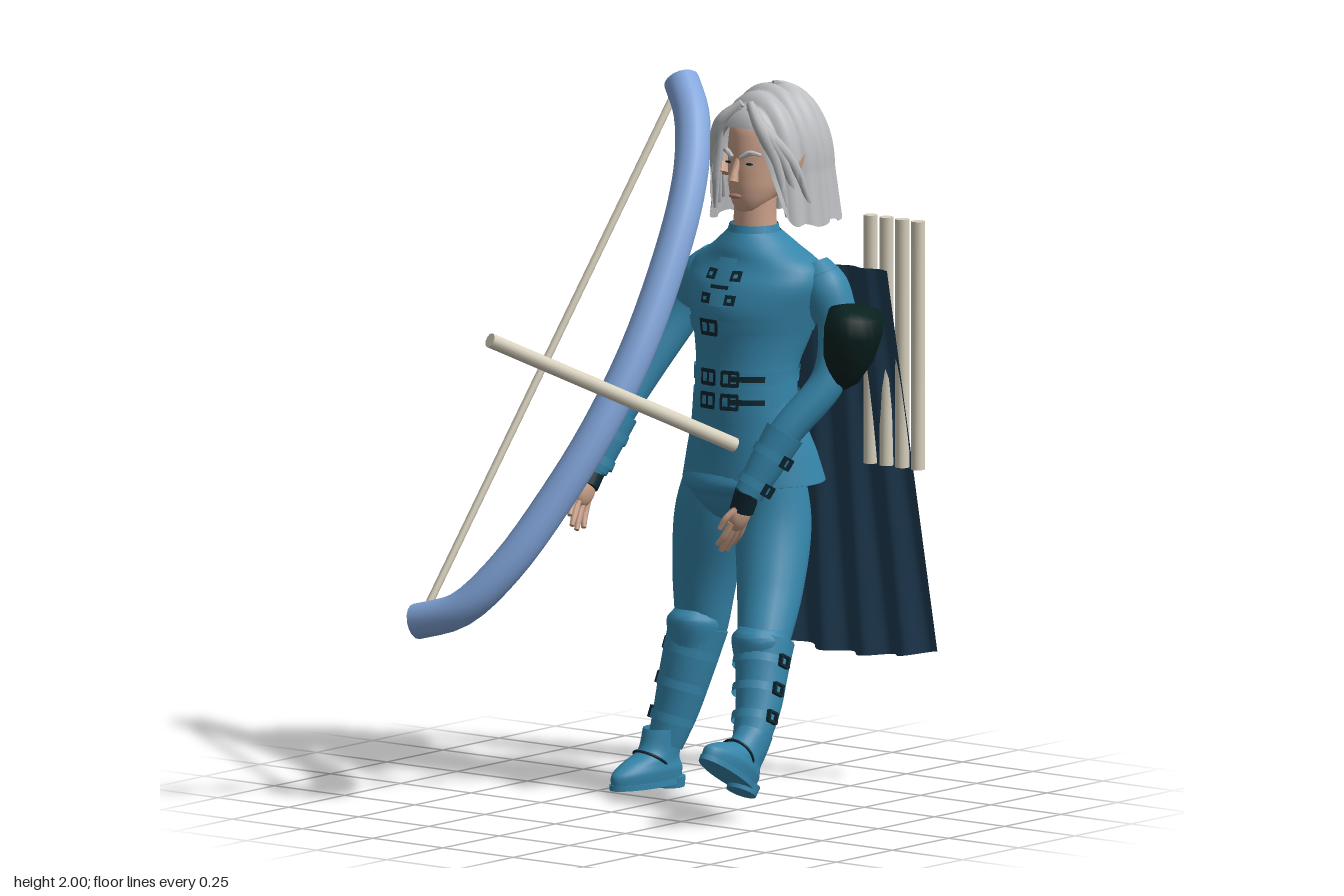
import * as THREE from 'three';
import { toCreasedNormals } from 'three/addons/utils/BufferGeometryUtils.js';

const V = (x, y, z) => new THREE.Vector3(x, y, z);
const mat = (name, color, side = THREE.FrontSide) => {
  const m = new THREE.MeshStandardMaterial({ color, side });
  m.name = name;
  return m;
};

export function createModel() {
  const root = new THREE.Group();
  root.name = 'archer';
  const teal = mat('teal leather', 0x3585aa, THREE.DoubleSide);
  const trim = mat('dark buckle', 0x0d2630, THREE.DoubleSide);
  const hairM = mat('silver hair', 0xbbbdc0, THREE.DoubleSide);
  const skin = mat('skin', 0xcaa089);
  const bowM = mat('blue bow', 0x82a6dc);
  const cream = mat('cream shaft', 0xd8d1be);
  const capeM = mat('navy cape', 0x1f3d55, THREE.DoubleSide);
  const guardM = mat('black green guard', 0x08211f, THREE.DoubleSide);
  const lipM = mat('lips', 0xa8766a);

  const add = (name, geo, m, p, parent = root) => {
    const mesh = new THREE.Mesh(geo, m);
    mesh.name = name;
    if (p) mesh.position.set(...p);
    parent.add(mesh);
    return mesh;
  };

  // Grid surface from fn(u, v); u runs round or across, v runs upward
  const grid = (nu, nv, fn, closed) => {
    const pos = [], idx = [], w = closed ? nu : nu + 1;
    for (let j = 0; j <= nv; j++) for (let i = 0; i < w; i++) pos.push(...fn(i / nu, j / nv));
    for (let j = 0; j < nv; j++) for (let i = 0; i < nu; i++) {
      const a = j * w + i, b = j * w + (i + 1) % w;
      idx.push(a, b, a + w, b, b + w, a + w);
    }
    const g = new THREE.BufferGeometry();
    g.setAttribute('position', new THREE.Float32BufferAttribute(pos, 3));
    g.setIndex(idx);
    g.computeVertexNormals();
    return g;
  };

  // Smooth stack of elliptical rings [y, cx, cz, rx, rz], listed from the bottom up
  const loft = (rings, nv = 30, nu = 36) => {
    const c = new THREE.CatmullRomCurve3(rings.map(r => V(r[1], r[0], r[2])));
    const s = new THREE.CatmullRomCurve3(rings.map(r => V(r[3], r[4], 0)));
    return grid(nu, nv, (u, v) => {
      const p = c.getPoint(v), r = s.getPoint(v), a = u * Math.PI * 2;
      return [p.x + r.x * Math.sin(a), p.y, p.z + r.y * Math.cos(a)];
    }, true);
  };

  // Capped tube through [x, y, z, radius]
  const limb = (pts, segs = 24, sides = 16) => {
    const c = new THREE.CatmullRomCurve3(pts.map(p => V(p[0], p[1], p[2])));
    const rc = new THREE.CatmullRomCurve3(pts.map((p, i) => V(p[3], i, 0)));
    c.getPointAt = t => c.getPoint(t);
    c.getTangentAt = t => c.getTangent(t);
    const g = new THREE.TubeGeometry(c, segs, 1, sides);
    const P = g.attributes.position, N = g.attributes.normal;
    for (let k = 0; k < P.count; k++) {
      const i = Math.floor(k / (sides + 1));
      const t = i <= 1 ? 0 : i >= segs - 1 ? 1 : i / segs;
      const r = i === 0 || i === segs ? 0 : rc.getPoint(t).x, p = c.getPoint(t);
      P.setXYZ(k, p.x + N.getX(k) * r, p.y + N.getY(k) * r, p.z + N.getZ(k) * r);
    }
    return toCreasedNormals(g, 0.9);
  };

  // Strap round a limb at point a, facing direction d, with a buckle on one side
  const strap = (name, a, d, r, side) => {
    const g = new THREE.Group();
    g.name = name;
    g.position.set(...a);
    g.quaternion.setFromUnitVectors(V(0, 1, 0), V(...d).normalize());
    add('band', new THREE.CylinderGeometry(r, r, 0.024, 20, 1, true), teal, null, g);
    for (const y of [0.014, -0.014])
      add('buckleBar', new THREE.BoxGeometry(0.012, 0.007, 0.036), trim, [side * (r + 0.003), y, 0], g);
    for (const z of [-0.016, 0.016])
      add('buckleSide', new THREE.BoxGeometry(0.012, 0.032, 0.007), trim, [side * (r + 0.003), 0, z], g);
    add('strapEnd', new THREE.BoxGeometry(0.02, 0.018, 0.036), trim, [0, 0, -r], g);
    root.add(g);
  };

  // Tunic and skirt
  const torso = [[1.1, .115, -.205, .152, .132], [1.2, .115, -.208, .15, .13], [1.3, .115, -.235, .168, .155],
    [1.38, .115, -.245, .192, .17], [1.45, .115, -.252, .212, .155], [1.5, .115, -.26, .2, .132],
    [1.55, .115, -.25, .125, .108], [1.59, .115, -.24, .075, .078]];
  add('tunic', loft(torso), teal);
  add('skirt', loft([[.905, .11, -.245, .15, .12], [.89, .11, -.247, .212, .178], [.97, .112, -.235, .192, .163],
    [1.05, .114, -.218, .168, .146], [1.13, .115, -.205, .154, .136]]), teal);
  add('collar', new THREE.CylinderGeometry(.068, .082, .05, 28, 1, true), teal, [.115, 1.585, -.24]);
  add('hips', loft([[.76, .1, -.22, .02, .02], [.79, .1, -.22, .09, .09], [.86, .1, -.22, .16, .14], [.95, .11, -.22, .16, .14]]), teal);

  // Front point of the torso surface for thin bands and plates
  const ringAt = y => {
    const i = Math.max(0, torso.findIndex(r => r[0] > y) - 1), a = torso[i], b = torso[i + 1];
    return a.map((n, k) => n + (b[k] - n) * (y - a[0]) / (b[0] - a[0]));
  };
  const band = (name, y, h, a0, a1, m, off) => add(name, grid(16, 2, (u, v) => {
    const yy = y + (v - 0.5) * h, r = ringAt(yy), a = a0 + (a1 - a0) * u;
    return [r[1] + (r[3] + off) * Math.sin(a), yy, r[2] + (r[4] + off) * Math.cos(a)];
  }), m);
  for (const y of [1.13, 1.195, 1.335]) {
    band('belt', y, .036, -Math.PI, Math.PI, teal, .006);
    for (const a of y > 1.3 ? [-.12] : [-.15, .3]) {
      for (const dy of [-.018, .018]) band('buckleBar', y + dy, .011, a - .16, a + .16, trim, .014);
      for (const da of [-.15, 0, .15]) band('buckleSide', y, .04, a + da - .025, a + da + .025, trim, .014);
    }
    if (y < 1.3) band('beltTongue', y, .016, .3, .95, trim, .012);
  }
  // Chest clasps and front placket
  band('placket', 1.46, .13, -.18, .18, teal, .008);
  for (const [a, y] of [[-.2, 1.48], [.2, 1.48], [-.2, 1.415], [.2, 1.415]]) {
    band('clasp', y, .028, a - .08, a + .08, trim, .012);
    band('claspCentre', y, .01, a - .03, a + .03, teal, .015);
  }
  band('claspBar', 1.448, .01, -.14, .14, trim, .012);

  // Legs, boots and feet: thigh points, boot points, foot placement
  const legs = [
    ['left', [[.19, .95, -.2, .1], [.21, .78, -.205, .108], [.26, .6, -.13, .092], [.312, .45, -.03, .07], [.33, .36, .01, .06]],
      [[.372, .22, .095, .052], [.355, .31, .04, .064], [.335, .4, .0, .074], [.318, .475, -.03, .086]], [.375, .095, .165], [-.52, .08], 1],
    ['right', [[.03, .95, -.235, .1], [-.03, .78, -.245, .11], [-.07, .6, -.255, .092], [-.085, .45, -.255, .074], [-.1, .36, -.24, .06]],
      [[-.142, .12, -.165, .05], [-.125, .22, -.195, .064], [-.105, .34, -.22, .076], [-.085, .455, -.245, .084]], [-.145, 0, -.155], [0, -.1], -1],
  ];
  for (const [side, thigh, boot, foot, rot, s] of legs) {
    add(side + 'Leg', limb(thigh, 30, 20), teal);
    add(side + 'Boot', limb(boot, 20, 20), teal);
    const top = boot[3], low = boot[0], d = [top[0] - low[0], top[1] - low[1], top[2] - low[2]];
    add(side + 'KneeGuard', limb([[top[0], top[1] - .06, top[2] + .03, .062], [top[0], top[1] + .01, top[2] + .02, .078], [top[0], top[1] + .04, top[2] + .015, .06]], 12), teal);
    for (const k of [.22, .5, .78]) strap(side + 'BootStrap', d.map((n, i) => low[i] + n * k), d, .056 + k * .03, s);
    const f = new THREE.Group();
    f.name = side + 'Foot';
    f.position.set(...foot);
    f.rotation.set(rot[0], rot[1], 0);
    add('shoe', loft([[.014, 0, .06, .01, .02], [.015, 0, .06, .046, .13], [.05, 0, .06, .052, .132], [.08, 0, .045, .049, .105],
      [.11, 0, .012, .047, .07], [.17, 0, 0, .05, .055]]), teal, null, f);
    const sole = add('sole', new THREE.CylinderGeometry(.053, .053, .016, 28), teal, [0, .02, .062], f);
    sole.scale.z = 2.55;
    add('heel', new THREE.CylinderGeometry(.046, .043, .03, 20), teal, [0, .015, -.03], f);
    const instep = add('instepStrap', new THREE.TorusGeometry(.05, .004, 8, 24), trim, [0, .085, .045], f);
    instep.rotation.x = 1;
    root.add(f);
  }

  // Hand pointing from the wrist along a direction, in a fingerless glove
  const hand = (name, p, dir, s) => {
    const h = new THREE.Group();
    h.name = name;
    h.position.set(...p);
    h.quaternion.setFromUnitVectors(V(0, -1, 0), V(...dir).normalize());
    add('palm', new THREE.SphereGeometry(.044, 16, 12), skin, [0, -.05, 0], h).scale.set(.5, 1.1, .9);
    add('glove', new THREE.CylinderGeometry(.036, .034, .06, 18), trim, [0, -.005, 0], h);
    for (let i = 0; i < 4; i++) {
      const z = -.03 + i * .02, l = i % 3 ? .165 : .145;
      add('finger', limb([[0, -.07, z, .01], [s * .006, -.115, z * 1.15, .01], [s * .016, -l, z * 1.25, .007]], 8, 8), skin, null, h);
    }
    add('thumb', limb([[0, -.03, .025, .012], [s * .01, -.06, .045, .01], [s * .016, -.095, .052, .007]], 8, 8), skin, null, h);
    root.add(h);
  };

  // Arms and bracers
  const arms = [
    ['left', [[.3, 1.475, -.3, .058], [.35, 1.36, -.31, .054], [.37, 1.2, -.26, .05], [.295, 1.04, -.145, .046], [.228, .865, -.06, .034]], [-.35, -1, .06], 1],
    ['right', [[-.085, 1.465, -.305, .058], [-.155, 1.36, -.305, .054], [-.222, 1.19, -.205, .05], [-.262, 1.04, -.1, .046], [-.285, .885, -.015, .034]], [0, -1, .7], -1],
  ];
  for (const [side, pts, dir, s] of arms) {
    add(side + 'Arm', limb(pts, 30), teal);
    const a = pts[3], b = pts[4], d = a.slice(0, 3).map((n, i) => n - b[i]);
    const on = k => b.slice(0, 3).map((n, i) => n + d[i] * k);
    const [p, q] = pts, mid = p.map((n, i) => n * .7 + q[i] * .3);
    add(side + 'Sleeve', limb([[p[0] - s * .02, p[1] + .025, p[2], .045], [...mid.slice(0, 3), .068], [...q.slice(0, 3), .062]], 14), teal);
    add(side + 'Bracer', limb([[...on(.08), .041], [...on(.5), .049], [...on(1.05), .057]], 12), teal);
    strap(side + 'BracerStrap', on(.25), d, .05, s);
    strap(side + 'BracerStrap', on(.7), d, .056, s);
    hand(side + 'Hand', b.slice(0, 3), dir, -s);
  }

  // Pointed guard on the left upper arm, its upper rim flared outward
  const guard = add('armGuard', new THREE.LatheGeometry(
    [[.004, -.13], [.045, -.1], [.08, -.03], [.093, .045], [.088, .1], [.05, .112], [0, .112]].map(p => new THREE.Vector2(...p)), 20), guardM, [.428, 1.288, -.278]);
  guard.rotation.z = -.22;
  guard.scale.x = .82;

  // Head and face
  const hx = .115;
  add('neck', limb([[hx, 1.54, -.25, .07], [hx, 1.62, -.245, .06], [hx, 1.7, -.25, .058]], 12, 20), skin);
  add('head', loft([[1.645, hx, -.21, .005, .005], [1.65, hx, -.215, .032, .034], [1.68, hx, -.235, .058, .066], [1.72, hx, -.262, .075, .098],
    [1.77, hx, -.285, .083, .122], [1.83, hx, -.295, .088, .13], [1.88, hx, -.3, .085, .128], [1.93, hx, -.31, .06, .09], [1.95, hx, -.31, .005, .005]]), skin);
  add('nose', limb([[hx, 1.8, -.172, .008], [hx, 1.765, -.155, .011], [hx, 1.738, -.147, .016]], 10, 12), skin);
  add('lips', new THREE.SphereGeometry(.02, 14, 8), lipM, [hx, 1.695, -.157]).scale.set(1.1, .35, .45);
  for (const s of [-1, 1]) {
    add('eye', new THREE.SphereGeometry(.012, 12, 8), trim, [hx + s * .036, 1.786, -.174]).scale.set(1.1, .3, .5);
    add('brow', limb([[hx + s * .014, 1.803, -.161, .006], [hx + s * .04, 1.818, -.17, .008], [hx + s * .066, 1.813, -.19, .004]], 8, 8), hairM);
    const ear = add('ear', new THREE.ConeGeometry(.026, .09, 12), skin, [hx + s * .135, 1.775, -.27]);
    ear.rotation.set(-.35, 0, -s * .3);
    ear.scale.x = .5;
    // Loose locks framing the face
    for (let i = 0; i < 3; i++) add('lock', limb([[hx + s * .015, 1.95 - i * .012, -.205, .012], [hx + s * (.07 + i * .008), 1.895 - i * .012, -.178 - i * .01, .018],
      [hx + s * (.108 + i * .012), 1.79, -.205 - i * .02, .016], [hx + s * (.128 + i * .014), 1.64 + i * .01, -.23 - i * .035, .006]], 18, 8), hairM);
  }

  // Hair shell, short over the face and long behind; strands run across the crown and down
  add('hair', grid(144, 44, (u, v) => {
    const a = (u - 0.5) * 2 * Math.PI;
    const k = THREE.MathUtils.smoothstep(Math.abs(a), .35, 1.2);
    const hem = 1.885 - .275 * k + .007 * Math.sin(a * 11) * k;
    const y = 1.997 - (1.997 - hem) * (1 - v) ** 1.6;
    const f = y > 1.76 ? Math.sqrt(Math.max(0, 1 - ((y - 1.76) / .237) ** 2)) : 1 + (1.76 - y) * .8;
    const z = (Math.cos(a) > 0 ? .198 : .19) * f * Math.cos(a);
    const back = THREE.MathUtils.smoothstep(Math.abs(a), 1.9, 2.3);
    const ridge = (1 - back) * Math.abs(Math.sin(z * 55)) + back * Math.abs(Math.sin(a * 9));
    const r = .95 + .06 * ridge;
    return [hx + .152 * f * r * Math.sin(a), y - .014 * (1 - ridge) * v, -.33 + z * r];
  }, true), hairM);

  // Pleated cape
  add('cape', grid(88, 10, (u, v) => {
    const w = 1 - v, x = (-.1 - .12 * w) + u * (.46 + .205 * w);
    const fold = .5 * Math.cos((u * 4.6 - .25) * 2 * Math.PI);
    return [x, 1.46 - w * (1.12 - .04 * (2 * u - 1) ** 2), -.53 - .13 * w - fold * (.015 + .04 * w)];
  }), capeM);

  // Straight shafts: spare arrows, drawn arrow and bowstring
  const shaft = (name, a, b, r) => add(name, limb([[...a, r], [...b, r]], 4, 12), cream);
  for (let i = 0; i < 4; i++) shaft('spareArrow', [.254 + i * .0565, .9, -.585], [.254 + i * .0565, 1.6, -.585], .02);
  shaft('drawnArrow', [-.085, 1.38, .685], [.21, 1.02, -.035], .021);
  shaft('bowstring', [-.24, 1.91, -.32], [-.49, .55, .46], .011);

  // Bow leaning back in one plane
  const bowPts = [[-.235, 1.955], [-.165, 1.88], [-.11, 1.77], [-.078, 1.64], [-.065, 1.46], [-.072, 1.26],
    [-.112, 1.05], [-.178, .86], [-.265, .68], [-.37, .56], [-.505, .515]];
  add('bow', limb(bowPts.map(([x, y]) => [x, y, .49 - .585 * (y - .51), .05]), 40, 16), bowM);
  return root;
}
